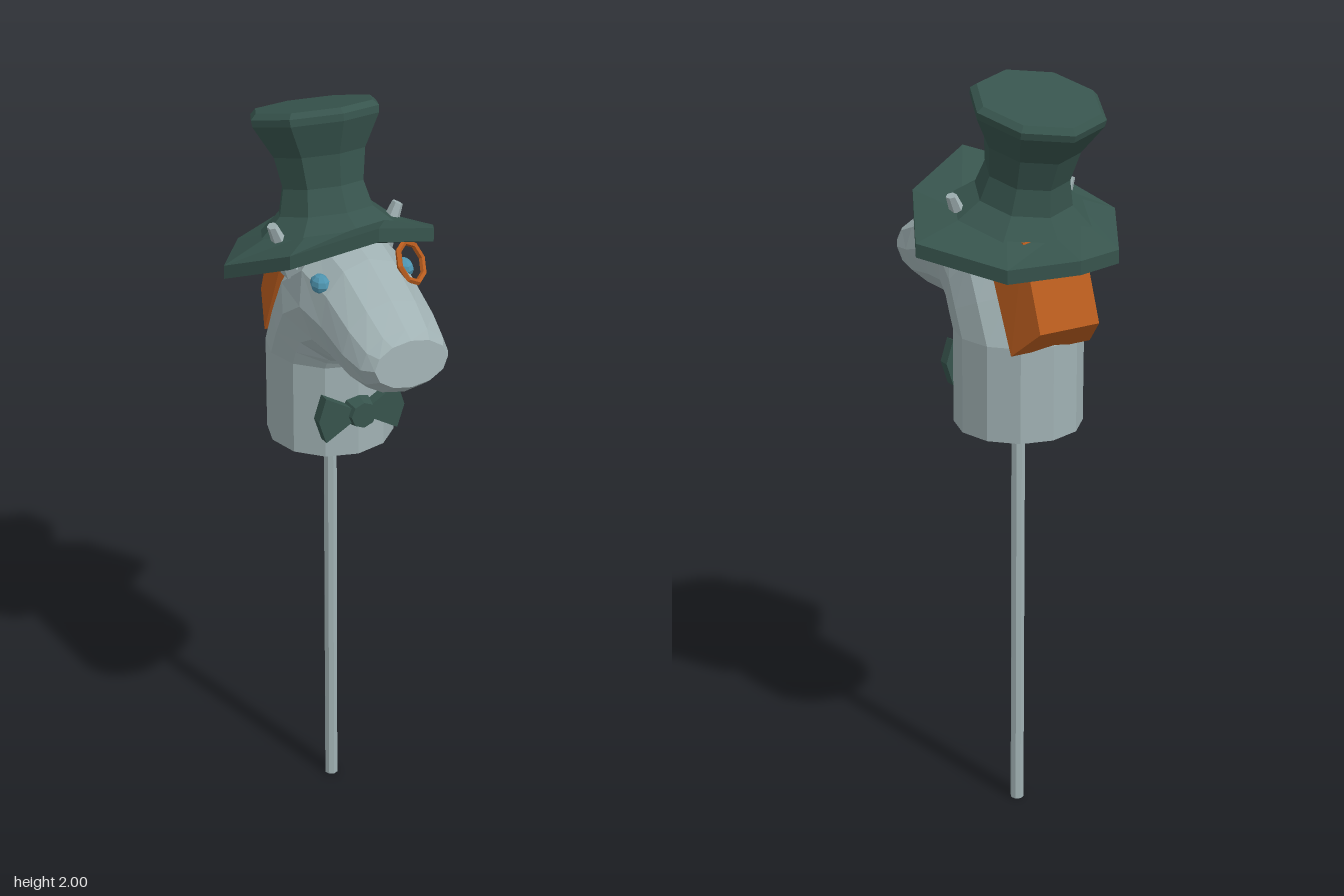
import * as THREE from 'three';

const V = (x, y, z) => new THREE.Vector3(x, y, z);

// Faceted normals for the low-poly look
function flat(geo) {
  const g = geo.index ? geo.toNonIndexed() : geo;
  g.computeVertexNormals();
  return g;
}

// Skin a list of equal-length closed rings and cap both ends
function loft(rings) {
  const n = rings[0].length, pos = [];
  const tri = (...p) => p.forEach((v) => pos.push(v.x, v.y, v.z));
  for (let i = 0; i < rings.length - 1; i++) {
    for (let j = 0; j < n; j++) {
      const k = (j + 1) % n;
      const a = rings[i][j], b = rings[i][k], c = rings[i + 1][k], d = rings[i + 1][j];
      tri(a, b, c);
      tri(a, c, d);
    }
  }
  const first = rings[0], last = rings[rings.length - 1];
  for (let j = 1; j < n - 1; j++) {
    tri(first[0], first[j + 1], first[j]);
    tri(last[0], last[j], last[j + 1]);
  }
  const g = new THREE.BufferGeometry();
  g.setAttribute('position', new THREE.Float32BufferAttribute(pos, 3));
  return flat(g);
}

export function createModel() {
  const model = new THREE.Group();
  model.name = 'hobbyAnimal';
  const mat = (name, color) => {
    const m = new THREE.MeshStandardMaterial({ color });
    m.name = name;
    return m;
  };
  const grey = mat('paleGrey', 0xa0b1b3);
  const green = mat('darkGreen', 0x37544d);
  const orange = mat('orange', 0xb85c1e);
  const blue = mat('eyeBlue', 0x4d93ae);
  const add = (name, geo, material, parent = model) => {
    const m = new THREE.Mesh(geo, material);
    m.name = name;
    parent.add(m);
    return m;
  };

  // Stick
  add('stick', flat(new THREE.CylinderGeometry(0.018, 0.018, 1.11, 8)), grey).position.set(0, 0.555, -0.085);

  // Neck and head: back/top z, y, then front/underside z, y, then half width
  const sections = [
    [-0.25, 1.105, 0.08, 1.105, 0.165],
    [-0.25, 1.355, 0.08, 1.355, 0.165],
    [-0.19, 1.485, 0.085, 1.365, 0.165],
    [-0.125, 1.61, 0.09, 1.37, 0.162],
    [0.0, 1.7, 0.11, 1.375, 0.15],
    [0.13, 1.665, 0.17, 1.375, 0.137],
    [0.25, 1.605, 0.26, 1.375, 0.131],
    [0.325, 1.56, 0.325, 1.395, 0.118],
    [0.355, 1.543, 0.365, 1.425, 0.098],
  ];
  const SIDES = 12;
  add('head', loft(sections.map(([bz, by, fz, fy, w]) =>
    Array.from({ length: SIDES }, (_, i) => {
      const a = (i / SIDES) * Math.PI * 2;
      const t = (1 + Math.cos(a)) / 2;
      return V(Math.sin(a) * w, by + (fy - by) * t, bz + (fz - bz) * t);
    }))), grey);

  // Mane block behind the head
  const mane = (s) => [
    V(s * 0.085, 1.63, -0.24), V(s * 0.115, 1.63, -0.1),
    V(s * 0.115, 1.345, -0.235), V(s * 0.085, 1.42, -0.32),
  ];
  add('mane', loft([mane(-1), mane(1)]), orange);

  // Eyes and ears
  for (const s of [-1, 1]) {
    const eye = add(s > 0 ? 'leftEye' : 'rightEye', flat(new THREE.SphereGeometry(0.03, 8, 6)), blue);
    eye.position.set(s * 0.113, 1.608, 0.097);
    eye.scale.set(0.8, 0.8, 1.1);
    const ear = add(s > 0 ? 'leftEar' : 'rightEar', flat(new THREE.CylinderGeometry(0.018, 0.042, 0.14, 6)), grey);
    ear.position.set(s * 0.145, 1.65, -0.05);
    ear.rotation.z = -s * 0.4;
    ear.scale.x = 0.7;
  }

  // Monocle ring on the left eye
  const monocle = add('monocle', flat(new THREE.TorusGeometry(0.052, 0.008, 5, 8)), orange);
  monocle.position.set(0.113, 1.637, 0.137);
  monocle.quaternion.setFromUnitVectors(V(0, 0, 1), V(0.5, 0.45, 0.7).normalize());

  // Top hat: leaning crown and drooping brim
  const hat = new THREE.Group();
  hat.name = 'topHat';
  model.add(hat);
  const TILT = 0.262, HZ = -0.095, HY = 1.665;
  const profile = [[0.18, 0], [0.125, 0.045], [0.108, 0.11], [0.122, 0.19], [0.168, 0.272], [0.17, 0.29], [0.155, 0.304], [0, 0.304]];
  const crown = add('hatCrown', flat(new THREE.LatheGeometry(
    profile.map(([r, h]) => new THREE.Vector2(r, h)), 8)), green, hat);
  crown.position.set(0, HY, HZ);
  crown.rotation.x = -TILT;

  const half = [[0, 1.765, 0.185], [0.195, 1.697, 0.1], [0.29, 1.62, -0.08], [0.16, 1.587, -0.29], [0, 1.605, -0.365]];
  const rim = [...half, ...half.slice(1, 4).reverse().map(([x, y, z]) => [-x, y, z])];
  const outer = (dy) => rim.map(([x, y, z]) => V(x, y + dy, z));
  const inner = (dy) => rim.map((_, i) => {
    const a = (i / 8) * Math.PI * 2, z = Math.cos(a) * 0.15;
    return V(Math.sin(a) * 0.15, HY + z * Math.tan(TILT) + dy, HZ + z);
  });
  add('hatBrim', loft([inner(-0.03), outer(-0.035), outer(0), inner(0.01)]), green, hat);

  // Bow tie
  const bow = new THREE.Group();
  bow.name = 'bowTie';
  bow.position.set(0, 1.23, 0.07);
  model.add(bow);
  for (const s of [-1, 1]) {
    const pts = [[0.02, -0.015], [0.1, -0.062], [0.12, 0], [0.1, 0.062], [0.02, 0.015]];
    const shape = new THREE.Shape(pts.map(([x, y]) => new THREE.Vector2(s * x, y)));
    add(s > 0 ? 'leftWing' : 'rightWing',
      flat(new THREE.ExtrudeGeometry(shape, { depth: 0.03, bevelEnabled: false })), green, bow);
  }
  const knot = add('knot', flat(new THREE.CylinderGeometry(0.035, 0.045, 0.045, 8)), green, bow);
  knot.rotation.x = Math.PI / 2;
  knot.position.z = 0.02;

  return model;
}
